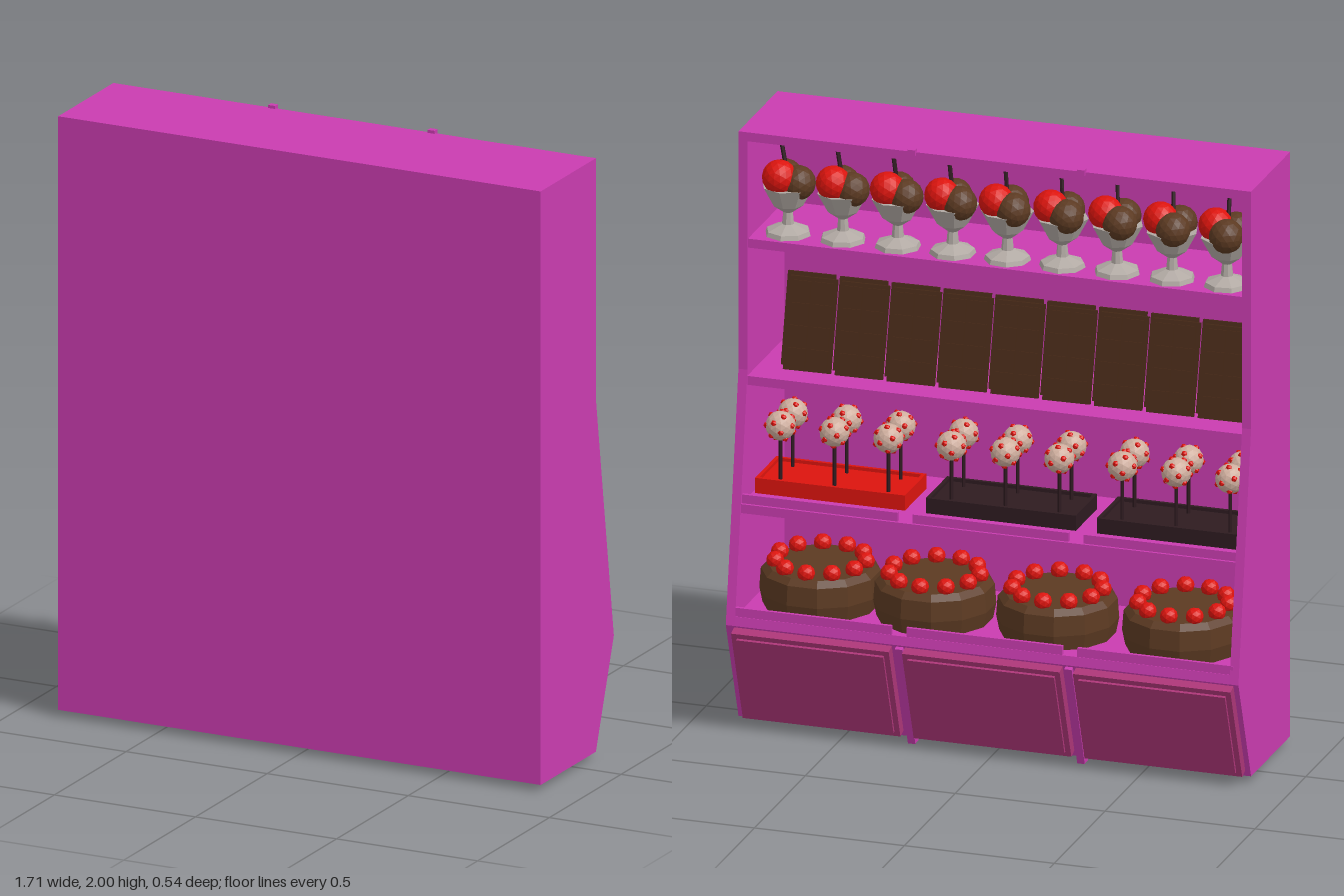
import * as THREE from 'three';

const paint = (name, color) => {
  const m = new THREE.MeshStandardMaterial({ color, flatShading: true });
  m.name = name;
  return m;
};

export function createModel() {
  const root = new THREE.Group();
  root.name = 'dessertCabinet';
  const M = {
    magenta: paint('magenta', 0xca3cb0),
    rose: paint('rose', 0xac3678),
    red: paint('red', 0xdc140e),
    cake: paint('cakeBrown', 0x5c3a22),
    bar: paint('chocolate', 0x452816),
    black: paint('darkTray', 0x2e1b20),
    glass: paint('glassGrey', 0xb2aaa4),
    pop: paint('popCream', 0xcfae9e),
  };

  const add = (parent, name, geo, mat, x = 0, y = 0, z = 0) => {
    const m = new THREE.Mesh(geo, mat);
    m.name = name;
    m.position.set(x, y, z);
    parent.add(m);
    return m;
  };
  const group = (name, x, y, z) => {
    const g = new THREE.Group();
    g.name = name;
    g.position.set(x, y, z);
    root.add(g);
    return g;
  };
  const box = (w, h, d) => new THREE.BoxGeometry(w, h, d);
  // Prism from a (z, y) outline, extruded along x about its middle
  const prism = (pts, width) => {
    const s = new THREE.Shape(pts.map(p => new THREE.Vector2(p[0], p[1])));
    const g = new THREE.ExtrudeGeometry(s, { depth: width, bevelEnabled: false });
    g.translate(0, 0, -width / 2);
    g.rotateY(-Math.PI / 2);
    return g;
  };

  // Cabinet shell, open towards -z
  const side = [[0.275, 0.02], [0.275, 1.99], [-0.11, 1.99], [-0.11, 1.19], [-0.235, 0.37], [-0.11, 0.02]];
  for (const s of [-1, 1]) add(root, 'sidePanel', prism(side, 0.03), M.magenta, s * 0.84);
  add(root, 'backPanel', box(1.66, 1.97, 0.02), M.magenta, 0, 1.005, 0.265);
  add(root, 'topPanel', box(1.66, 0.03, 0.365), M.magenta, 0, 1.975, 0.0725);
  add(root, 'base', prism([[0.255, 0.02], [0.255, 0.4], [-0.23, 0.4], [-0.235, 0.37], [-0.11, 0.02]], 1.66), M.magenta);

  // Shelves
  for (const [y, front] of [[1.63, -0.105], [1.17, -0.112], [0.76, -0.175]]) {
    add(root, 'shelf', box(1.66, 0.03, 0.255 - front), M.magenta, 0, y - 0.015, (0.255 + front) / 2);
  }

  const thirds = [-0.575, -0.005, 0.565];
  // Front lips of the two lowest levels
  for (const [y, z] of [[0.76, -0.16], [0.4, -0.222]]) {
    for (const x of thirds) add(root, 'shelfLip', box(0.52, 0.035, 0.012), M.magenta, x, y + 0.012, z);
  }

  // Slanted doors and the strips between them
  const slant = group('doors', 0, 0.195, -0.1725);
  slant.rotation.x = -0.343;
  for (const x of thirds) {
    add(slant, 'door', box(0.526, 0.345, 0.032), M.rose, x, 0.008, -0.016);
    add(slant, 'doorPanel', box(0.49, 0.31, 0.01), M.rose, x, 0.008, -0.036);
  }
  for (const x of [-0.29, 0.275]) {
    add(slant, 'doorStrip', box(0.025, 0.385, 0.02), M.magenta, x, -0.012, -0.004);
    add(root, 'foot', box(0.025, 0.025, 0.025), M.magenta, x, 0.0125, -0.1);
    add(root, 'topClip', box(0.025, 0.02, 0.02), M.magenta, x, 1.99, -0.112);
  }

  // Sundaes in footed glasses
  const glass = new THREE.LatheGeometry([
    [0, 0], [0.075, 0], [0.07, 0.015], [0.02, 0.035], [0.016, 0.075], [0.05, 0.1], [0.085, 0.165], [0, 0.16],
  ].map(p => new THREE.Vector2(p[0], p[1])), 8);
  const scoop = new THREE.IcosahedronGeometry(0.056, 2);
  const wafer = new THREE.CylinderGeometry(0.007, 0.007, 0.15, 6);
  for (let i = 0; i < 9; i++) {
    const g = group('sundae', 0.72 - i * 0.183, 1.63, -0.02);
    g.rotation.y = -i * 0.13;
    add(g, 'glass', glass, M.glass);
    add(g, 'redScoop', scoop, M.red, 0.018, 0.2, -0.032);
    add(g, 'chocolateScoop', scoop, M.cake, -0.038, 0.18, -0.01);
    add(g, 'chocolateScoop', scoop, M.cake, 0.02, 0.18, 0.034);
    const w = add(g, 'waferStick', wafer, M.black, 0.012, 0.235, 0.008);
    w.rotation.set(0.1, 0, -0.22);
  }

  // Chocolate bars leaning back in two layers
  const slab = box(0.155, 0.3, 0.016);
  const square = box(0.06, 0.06, 0.01);
  for (let layer = 0; layer < 2; layer++) {
    for (let i = 0; i < 9; i++) {
      const g = group('chocolateBar', 0.655 - i * 0.173 + layer * 0.02, 1.175, -0.025 + layer * 0.04);
      g.rotation.set(0.24, 0.08, 0);
      add(g, 'slab', slab, M.bar, 0, 0.15, 0);
      for (let r = 0; r < 4; r++) {
        for (const x of [-0.036, 0.036]) add(g, 'square', square, M.bar, x, 0.042 + r * 0.072, -0.012);
      }
    }
  }

  // Cake pops standing in trays
  const ball = new THREE.IcosahedronGeometry(0.048, 2);
  const sprinkle = new THREE.IcosahedronGeometry(0.011, 0);
  const stick = new THREE.CylinderGeometry(0.006, 0.006, 0.16, 6);
  thirds.forEach((x, t) => {
    const trayMat = t === 2 ? M.red : M.black;
    const g = group('cakePopTray', x, 0.76, 0.04);
    add(g, 'trayBlock', box(0.5, 0.04, 0.21), trayMat, 0, 0.02, 0);
    for (const s of [-1, 1]) {
      add(g, 'trayRim', box(0.5, 0.012, 0.012), trayMat, 0, 0.045, s * 0.099);
      add(g, 'trayRim', box(0.012, 0.012, 0.21), trayMat, s * 0.244, 0.045, 0);
    }
    for (const px of [-0.18, 0, 0.18]) {
      for (const pz of [-0.06, 0.06]) {
        add(g, 'popStick', stick, M.black, px, 0.12, pz);
        add(g, 'popBall', ball, M.pop, px, 0.22, pz);
        // Sprinkles spread evenly in a spiral
        for (let k = 0; k < 16; k++) {
          const v = 1 - (k + 0.5) / 8, a = k * 2.4 + px * 9, r = Math.sqrt(1 - v * v);
          add(g, 'sprinkle', sprinkle, M.red,
            px + 0.044 * r * Math.cos(a), 0.22 + 0.044 * v, pz + 0.044 * r * Math.sin(a));
        }
      }
    }
  });

  // Cakes ringed with cherries
  const cakeGeo = new THREE.LatheGeometry([[0, 0], [0.185, 0], [0.195, 0.05], [0.19, 0.115], [0.17, 0.135], [0, 0.135]]
    .map(p => new THREE.Vector2(p[0], p[1])), 12);
  const cherry = new THREE.IcosahedronGeometry(0.029, 1);
  for (const x of [-0.6, -0.18, 0.23, 0.61]) {
    const g = group('cake', x, 0.4, -0.022);
    add(g, 'cakeBody', cakeGeo, M.cake).rotation.y = Math.PI / 12;
    for (let k = 0; k < 11; k++) {
      const a = k / 11 * Math.PI * 2 - Math.PI / 2;
      add(g, 'cherry', cherry, M.red, 0.145 * Math.cos(a), 0.15, 0.145 * Math.sin(a));
    }
  }
  return root;
}
